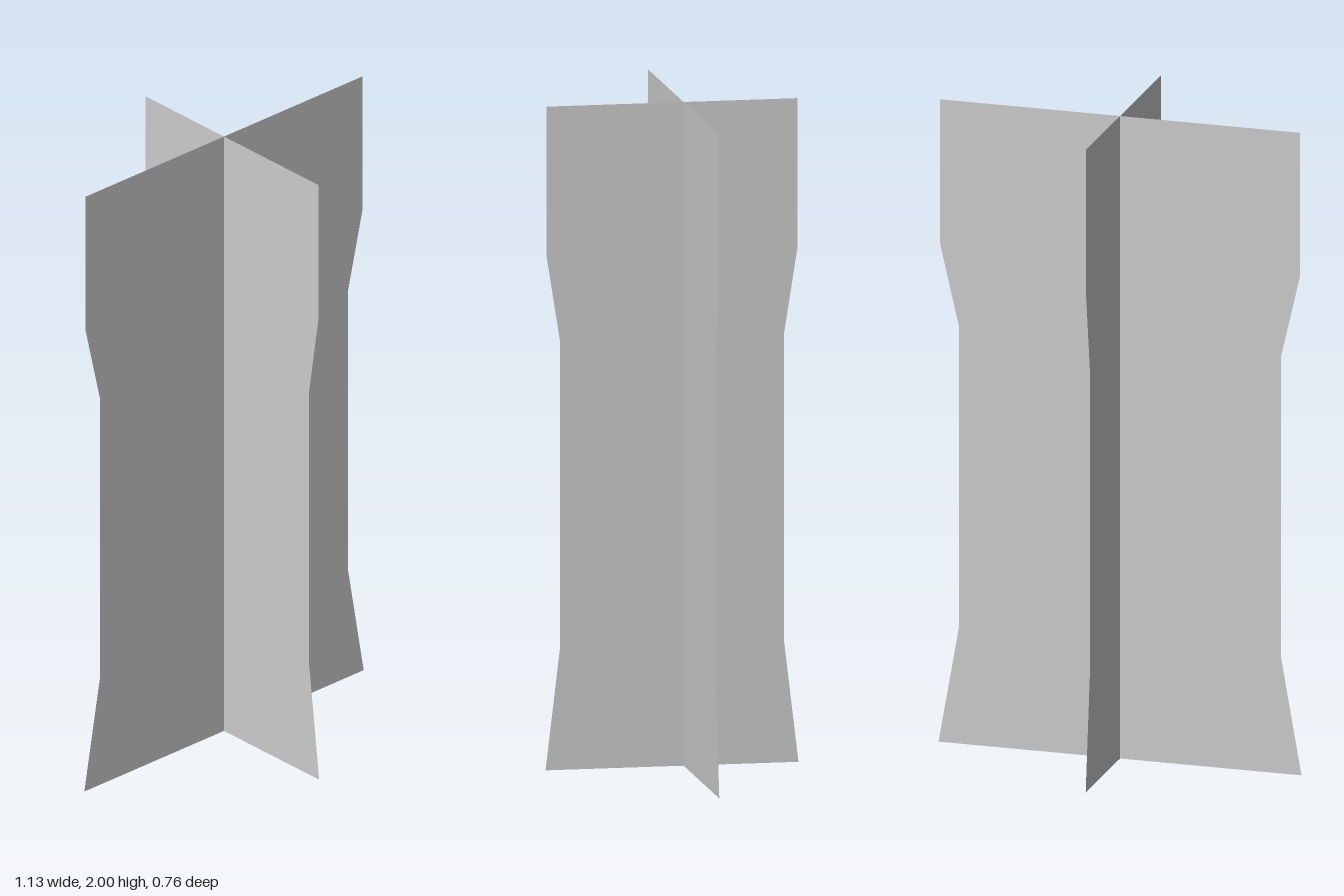
import * as THREE from 'three';

const material = new THREE.MeshStandardMaterial({
  color: 0xcccccc, flatShading: true, side: THREE.DoubleSide,
});

// Flat upright panel, mirrored from [halfWidth, height] pairs
function makePanel(name, profile) {
  const right = profile.map(([w, y]) => new THREE.Vector2(w, y));
  const left = profile.map(([w, y]) => new THREE.Vector2(-w, y)).reverse();
  const mesh = new THREE.Mesh(new THREE.ShapeGeometry(new THREE.Shape([...right, ...left])), material);
  mesh.name = name;
  return mesh;
}

export function createModel() {
  const group = new THREE.Group();
  group.name = 'crossedPanels';

  // Wide panel across x, slightly behind the middle
  const wide = makePanel('widePanel', [[0.563, 0], [0.5, 0.36], [0.5, 1.3], [0.558, 1.55], [0.558, 2]]);
  wide.position.z = -0.035;

  // Narrow panel along z, crossing the wide one
  const narrow = makePanel('narrowPanel', [[0.382, 0], [0.338, 0.37], [0.338, 1.29], [0.379, 1.55], [0.379, 2]]);
  narrow.rotation.y = Math.PI / 2;

  group.add(wide, narrow);
  return group;
}
